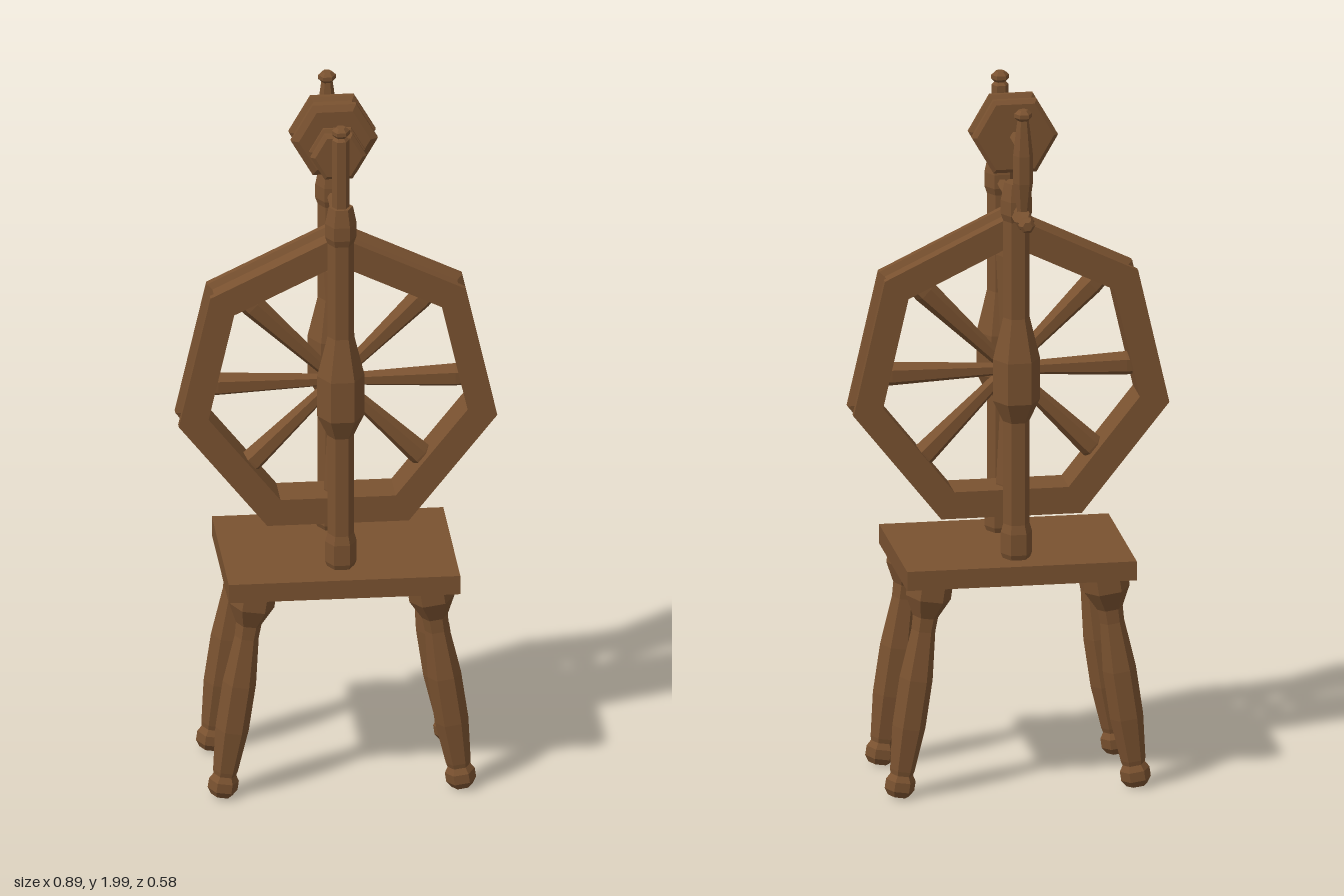
import * as THREE from 'three';

const wood = new THREE.MeshStandardMaterial({ color: 0x7a5230, flatShading: true });

// Faceted turning from [radius, height] pairs; corners point along x
function turned(name, profile, sides = 6, start = Math.PI / 2) {
  const points = profile.map(([r, y]) => new THREE.Vector2(r, y));
  const mesh = new THREE.Mesh(new THREE.LatheGeometry(points, sides, start), wood);
  mesh.name = name;
  return mesh;
}

// Turning laid along z: [radius, z] pairs, at height y
function turnedAlongZ(name, profile, y, sides, start) {
  const mesh = turned(name, profile, sides, start);
  mesh.geometry.rotateX(Math.PI / 2);
  mesh.position.y = y;
  return mesh;
}

export function createModel() {
  const model = new THREE.Group();
  model.name = 'spinningWheel';

  // Seat board
  const bench = new THREE.Mesh(new THREE.BoxGeometry(0.645, 0.055, 0.48), wood);
  bench.name = 'bench';
  bench.position.set(0, 0.648, 0.047);
  model.add(bench);

  // Four legs splayed sideways
  const legProfile = [
    [0, 0], [0.03, 0], [0.042, 0.018], [0.042, 0.045], [0.032, 0.062], [0.035, 0.075],
    [0.047, 0.2], [0.047, 0.34], [0.034, 0.48], [0.036, 0.52], [0.064, 0.575], [0.064, 0.625], [0, 0.625],
  ];
  for (const side of [-1, 1]) {
    for (const z of [0.21, -0.12]) {
      const leg = turned('leg', legProfile);
      leg.position.set(side * 0.335, 0.01, z);
      leg.rotation.z = side * 0.146;
      model.add(leg);
    }
  }

  // Upright posts; the front one carries a slim extension with a finial
  const postProfile = [
    [0, 0.67], [0.036, 0.67], [0.044, 0.69], [0.044, 0.75], [0.037, 0.775], [0.037, 1.07],
    [0.066, 1.13], [0.066, 1.25], [0.037, 1.37], [0.037, 1.65], [0.044, 1.67], [0.044, 1.71], [0.034, 1.76],
  ];
  const knob = [[0.024, 1.962], [0.016, 1.97], [0.025, 1.979], [0.025, 1.99], [0.014, 2], [0, 2]];
  const frontPost = turned('frontPost', [...postProfile, [0.024, 1.76], ...knob]);
  frontPost.position.z = 0.18;
  const backPost = turned('backPost', [...postProfile, [0, 1.76]]);
  backPost.position.z = -0.097;
  const spindleSupport = turned('spindleSupport',
    [[0, 1.69], [0.014, 1.69], [0.028, 1.79], [0.028, 1.87], [0.02, 1.94], ...knob.slice(1)]);
  spindleSupport.position.z = -0.21;
  model.add(frontPost, backPost, spindleSupport);

  // Seven-sided rim with a grooved outside
  model.add(turnedAlongZ('wheelRim', [
    [0.37, -0.015], [0.455, -0.015], [0.455, 0.005], [0.436, 0.014], [0.436, 0.076],
    [0.455, 0.085], [0.455, 0.105], [0.37, 0.105], [0.37, -0.015],
  ], 1.18, 7, Math.PI));

  // Hub and axle
  model.add(turnedAlongZ('axle', [
    [0, -0.097], [0.018, -0.097], [0.018, 0.01], [0.036, 0.02], [0.036, 0.07],
    [0.018, 0.08], [0.018, 0.18], [0, 0.18],
  ], 1.18));

  // Eight spokes widening towards the rim
  for (let i = 0; i < 8; i++) {
    const spoke = turned('spoke', [[0, 0.01], [0.017, 0.01], [0.034, 0.33], [0.03, 0.375], [0, 0.375]]);
    spoke.position.set(0, 1.18, 0.045);
    spoke.rotation.z = (i * Math.PI) / 4;
    model.add(spoke);
  }

  // Tension rod ending in a turned handle
  model.add(turnedAlongZ('tensionHandle', [
    [0, -0.29], [0.014, -0.29], [0.023, -0.28], [0.023, -0.265], [0.014, -0.25],
    [0.028, -0.235], [0.028, -0.185], [0.016, -0.162], [0.014, -0.15], [0.014, 0.18], [0, 0.18],
  ], 1.685));

  // Spindle and its two grooved pulleys
  model.add(turnedAlongZ('spindle', [[0, -0.21], [0.016, -0.21], [0.016, 0.18], [0, 0.18]], 1.885));
  model.add(turnedAlongZ('largePulley', [
    [0, -0.082], [0.108, -0.082], [0.121, -0.074], [0.121, -0.06], [0.107, -0.052],
    [0.107, -0.02], [0.121, -0.013], [0.121, 0], [0.1, 0.01], [0, 0.01],
  ], 1.885));
  model.add(turnedAlongZ('smallPulley', [
    [0, 0.067], [0.07, 0.067], [0.078, 0.073], [0.078, 0.081], [0.064, 0.087],
    [0.064, 0.105], [0.078, 0.111], [0.078, 0.119], [0.066, 0.127], [0, 0.127],
  ], 1.885));

  return model;
}
